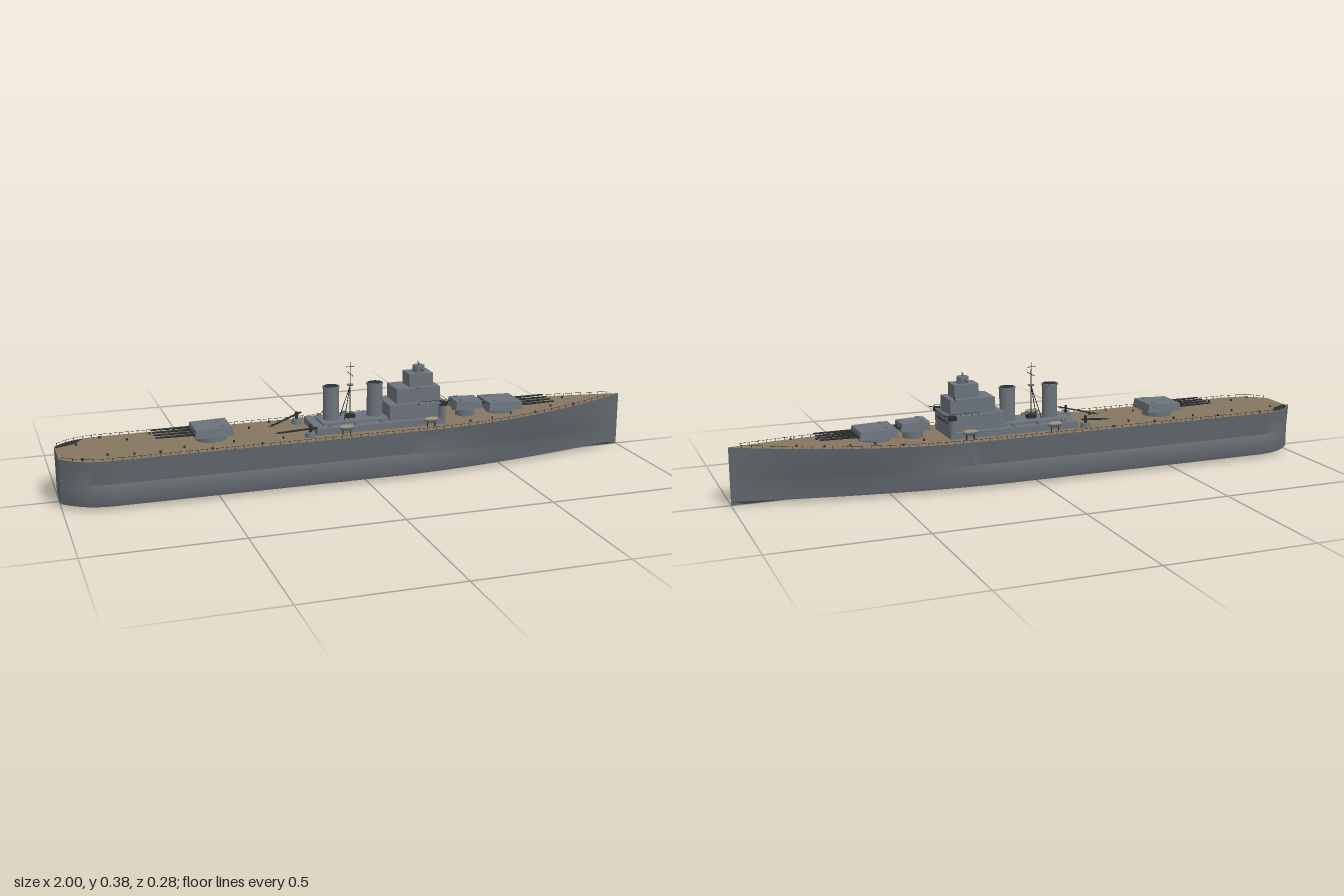
import * as THREE from 'three';
import { toCreasedNormals } from 'three/addons/utils/BufferGeometryUtils.js';

const mat = (name, color) => {
  const m = new THREE.MeshStandardMaterial({ color, side: THREE.DoubleSide });
  m.name = name;
  return m;
};

export function createModel() {
  const ship = new THREE.Group();
  ship.name = 'battleship';
  const hullGrey = mat('hullGrey', 0x62686d);
  const upperGrey = mat('upperGrey', 0x6c737b);
  const deckTan = mat('deckTan', 0x85765f);
  const dark = mat('darkMetal', 0x2b2e31);
  const canvas = mat('boatCanvas', 0x9a8e78);

  // Helpers
  const add = (geo, m, name, x = 0, y = 0, z = 0, parent = ship) => {
    const mesh = new THREE.Mesh(geo, m);
    mesh.name = name;
    mesh.position.set(x, y, z);
    parent.add(mesh);
    return mesh;
  };
  const block = (name, x0, x1, y0, y1, hz, m = upperGrey) =>
    add(new THREE.BoxGeometry(x1 - x0, y1 - y0, hz * 2), m, name, (x0 + x1) / 2, (y0 + y1) / 2, 0);
  const rod = (name, a, b, r, m = dark, parent = ship, r2 = r) => {
    const p = new THREE.Vector3(...a), q = new THREE.Vector3(...b);
    const d = q.clone().sub(p);
    const mesh = add(new THREE.CylinderGeometry(r2, r, d.length(), 8), m, name, 0, 0, 0, parent);
    mesh.position.copy(p.add(q).multiplyScalar(0.5));
    mesh.quaternion.setFromUnitVectors(new THREE.Vector3(0, 1, 0), d.normalize());
    return mesh;
  };

  // Hull lines
  const clamp = v => Math.max(0, Math.min(1, v));
  const sternCut = x => clamp((-0.82 - x) / 0.18);
  const deckHalf = x => 0.137 * (1 - 0.5 * sternCut(x) ** 3) * (1 - clamp((x - 0.3) / 0.7) ** 1.9) + 0.0005;
  const bilgeHalf = x => 0.137 * (1 - 0.55 * sternCut(x) ** 2.6) * (1 - clamp((x - 0.1) / 0.9) ** 1.7) + 0.0005;
  const deckY = x => 0.165 + 0.026 * clamp((x - 0.2) / 0.8) ** 1.5;
  const section = x => {
    const h = deckHalf(x), b = bilgeHalf(x), w = (h + b) * 0.468;
    const half = [[h, deckY(x)], [w, 0.085], [b, 0.072], [b, 0.025], [b * 0.97, 0.014]];
    return [...half, [0, 0.002], ...half.slice().reverse().map(([z, y]) => [-z, y])];
  };
  const stations = [];
  for (let i = 0; i <= 10; i++) stations.push(-1 + 0.018 * i);
  for (let i = 1; i <= 40; i++) stations.push(-0.82 + 1.82 * i / 40);
  const rings = stations.map(x => section(x).map(([z, y]) => [x, y, z]));
  const n = rings[0].length;

  // Hull skin and stern plate
  const skin = [], planks = [];
  for (let i = 0; i < rings.length - 1; i++) {
    const A = rings[i], B = rings[i + 1];
    for (let j = 0; j < n - 1; j++) skin.push(A[j], A[j + 1], B[j + 1], A[j], B[j + 1], B[j]);
    planks.push(A[0], B[0], B[n - 1], A[0], B[n - 1], A[n - 1]);
  }
  for (let j = 0; j < n; j++) skin.push([-1, 0.09, 0], rings[0][(j + 1) % n], rings[0][j]);
  const soup = tris => {
    const g = new THREE.BufferGeometry();
    g.setAttribute('position', new THREE.Float32BufferAttribute(tris.flat(), 3));
    g.computeVertexNormals();
    return g;
  };
  add(toCreasedNormals(soup(skin), 0.6), hullGrey, 'hull');
  add(soup(planks), deckTan, 'deck');

  // Dark opening on the stern quarter
  const q = [[-0.997, -0.045], [-0.935, -0.075], [-0.9, -0.125], [-0.94, -0.114], [-0.97, -0.095], [-0.997, -0.066]];
  const gap = new THREE.ShapeGeometry(new THREE.Shape(q.map(([x, z]) => new THREE.Vector2(x, -z))));
  gap.rotateX(-Math.PI / 2);
  add(gap, dark, 'sternOpening', 0, 0.1662, 0);

  // Deck edge railings
  for (const s of [1, -1]) {
    const line = [];
    for (let x = -0.99; x < 0.99; x += 0.03) {
      const z = s * (deckHalf(x) - 0.002), y = deckY(x);
      rod('railPost', [x, y, z], [x, y + 0.009, z], 0.0009);
      line.push(new THREE.Vector3(x, y + 0.008, z));
    }
    add(new THREE.TubeGeometry(new THREE.CatmullRomCurve3(line), 90, 0.0005, 4), dark, 'railWire');
  }

  // Main turrets: tapered house, barbette and a row of barrels
  const turret = (name, x, y, len, hw, dir, guns, reach) => {
    const g = new THREE.Group();
    g.name = name;
    g.position.set(x, y, 0);
    g.rotation.y = dir > 0 ? 0 : Math.PI;
    ship.add(g);
    const house = new THREE.BoxGeometry(len, 0.03, hw * 2);
    const p = house.attributes.position;
    for (let i = 0; i < p.count; i++) {
      if (p.getY(i) > 0) {
        p.setX(i, p.getX(i) * 0.93);
        p.setZ(i, p.getZ(i) * 0.94);
        if (p.getX(i) > 0) p.setY(i, 0.012);
      }
    }
    house.computeVertexNormals();
    add(house, upperGrey, 'turretHouse', 0, 0.018, 0, g);
    const drop = y - deckY(x) + 0.004;
    add(new THREE.CylinderGeometry(hw * 0.85, hw * 0.85, drop, 28), upperGrey, 'barbette', 0, 0.003 - drop / 2, 0, g);
    for (let i = 0; i < guns; i++) {
      const z = (i - (guns - 1) / 2) * (guns > 2 ? 0.03 : 0.034);
      rod('gunBarrel', [len * 0.45, 0.015, z], [reach, 0.016, z], 0.0042, dark, g, 0.0028);
    }
    for (const s of [1, -1]) add(new THREE.BoxGeometry(0.012, 0.006, 0.01), upperGrey, 'turretSight', -len * 0.25, 0.034, s * hw * 0.6, g);
  };
  turret('aftTurret', -0.5, 0.182, 0.128, 0.06, -1, 4, 0.19);
  turret('forwardTurret', 0.53, 0.182, 0.128, 0.06, 1, 4, 0.19);
  turret('upperForwardTurret', 0.4, 0.192, 0.1, 0.04, 1, 2, 0.18);

  // Superstructure tiers
  block('deckhouse', -0.16, 0.295, 0.16, 0.187, 0.082);
  block('midHouse', -0.13, 0.1, 0.187, 0.194, 0.05);
  block('bridgeBase', 0.1, 0.295, 0.187, 0.24, 0.064);
  block('bridgeWing', 0.2, 0.3, 0.236, 0.241, 0.082);
  block('bridgeMiddle', 0.13, 0.285, 0.24, 0.29, 0.05);
  block('bridgeUpper', 0.18, 0.265, 0.29, 0.335, 0.033);
  add(new THREE.CylinderGeometry(0.02, 0.02, 0.022, 24), upperGrey, 'directorTower', 0.225, 0.346, 0);
  rod('rangefinder', [0.225, 0.347, -0.05], [0.225, 0.347, 0.05], 0.0012);
  rod('directorPost', [0.225, 0.355, 0], [0.225, 0.368, 0], 0.001);
  for (const y of [0.362, 0.368]) rod('directorAerial', [0.225, y, -0.014], [0.225, y, 0.014], 0.0007);
  rod('signalYard', [0.2, 0.293, 0.05], [0.2, 0.293, 0.075], 0.001);
  for (const z of [-0.044, -0.052]) rod('lampPost', [0.27, 0.288, z], [0.27, 0.3, z], 0.0012);

  // Bridge railings and window strips
  for (const s of [1, -1]) {
    rod('bridgeRail', [0.2, 0.249, s * 0.08], [0.3, 0.249, s * 0.08], 0.0007);
    for (let x = 0.2; x < 0.31; x += 0.02) rod('bridgeRailPost', [x, 0.241, s * 0.08], [x, 0.249, s * 0.08], 0.0007);
  }
  rod('bridgeRailFront', [0.3, 0.249, -0.08], [0.3, 0.249, 0.08], 0.0007);
  for (let z = -0.056; z < 0.06; z += 0.016)
    add(new THREE.BoxGeometry(0.002, 0.005, 0.008), dark, 'bridgeWindow', 0.296, 0.215, z);

  // Funnels with capped dark mouths
  for (const x of [-0.088, 0.067]) {
    const f = new THREE.Group();
    f.name = 'funnel';
    f.position.set(x, 0.18, 0);
    f.scale.z = 0.8;
    ship.add(f);
    add(new THREE.CylinderGeometry(0.027, 0.027, 0.125, 28), upperGrey, 'funnelBody', 0, 0.0625, 0, f);
    add(new THREE.CylinderGeometry(0.029, 0.029, 0.006, 28), upperGrey, 'funnelRim', 0, 0.126, 0, f);
    add(new THREE.CylinderGeometry(0.025, 0.025, 0.002, 28), dark, 'funnelMouth', 0, 0.1295, 0, f);
  }

  // Tripod mast
  rod('mast', [-0.02, 0.19, 0], [-0.02, 0.385, 0], 0.002, dark, ship, 0.001);
  for (const s of [1, -1]) rod('mastLeg', [-0.05, 0.19, s * 0.025], [-0.02, 0.305, 0], 0.0014);
  add(new THREE.CylinderGeometry(0.012, 0.01, 0.004, 16), upperGrey, 'mastTop', -0.02, 0.307, 0);
  rod('mastYard', [-0.02, 0.345, -0.032], [-0.02, 0.345, 0.032], 0.001);
  rod('mastAerial', [-0.035, 0.37, 0], [-0.005, 0.37, 0], 0.001);
  block('winch', -0.035, -0.005, 0.192, 0.205, 0.012, dark);

  // Mirrored fittings: cranes, boats, gun directors
  for (const s of [1, -1]) {
    add(new THREE.CylinderGeometry(0.016, 0.018, 0.016, 16), upperGrey, 'craneBase', -0.185, 0.173, s * 0.083);
    rod('cranePost', [-0.185, 0.175, s * 0.083], [-0.185, 0.205, s * 0.083], 0.005);
    for (const d of [-0.004, 0.004])
      rod('craneJib', [-0.165, 0.198, s * (0.098 + d)], [-0.285, 0.175, s * (0.043 + d)], 0.0018);
    for (let t = 0; t <= 1; t += 0.125) {
      const x = -0.165 - 0.12 * t, z = 0.098 - 0.055 * t, y = 0.198 - 0.023 * t;
      rod('craneBrace', [x, y, s * (z - 0.004)], [x - 0.01, y, s * (z + 0.004)], 0.001);
    }
    for (const x of [-0.065, 0.235]) {
      const boat = add(new THREE.SphereGeometry(1, 20, 10, 0, Math.PI * 2, Math.PI / 2, Math.PI / 2), upperGrey, 'boatHull', x, 0.192, s * 0.101);
      boat.scale.set(0.026, 0.012, 0.011);
      const cover = add(new THREE.SphereGeometry(1, 20, 8, 0, Math.PI * 2, 0, Math.PI / 2), canvas, 'boatCover', x, 0.192, s * 0.101);
      cover.scale.set(0.026, 0.008, 0.012);
      for (const d of [-0.013, 0.013]) rod('boatCradle', [x + d, 0.165, s * 0.101], [x + d, 0.187, s * 0.101], 0.002);
    }
    add(new THREE.CylinderGeometry(0.012, 0.012, 0.05, 16), upperGrey, 'directorPedestal', 0.285, 0.205, s * 0.073);
    add(new THREE.BoxGeometry(0.024, 0.014, 0.02), dark, 'gunDirector', 0.288, 0.236, s * 0.076);
    rod('lightGun', [0.29, 0.24, s * 0.076], [0.318, 0.247, s * 0.08], 0.0015);
    // Bollards and ventilators along the deck
    for (let i = 0; i < 22; i++) {
      const x = -0.93 + i * 0.082;
      const z = s * deckHalf(x) * (0.66 + 0.2 * Math.sin(i * 2.7 + s));
      if (x > -0.2 && x < 0.32) continue;
      add(new THREE.CylinderGeometry(0.0035, 0.0035, 0.007, 8), dark, 'bollard', x, deckY(x) + 0.003, z);
    }
    for (const x of [-0.11, -0.02, 0.07])
      add(new THREE.BoxGeometry(0.014, 0.01, 0.01), upperGrey, 'ventilator', x, 0.192, s * 0.068);
  }
  return ship;
}
